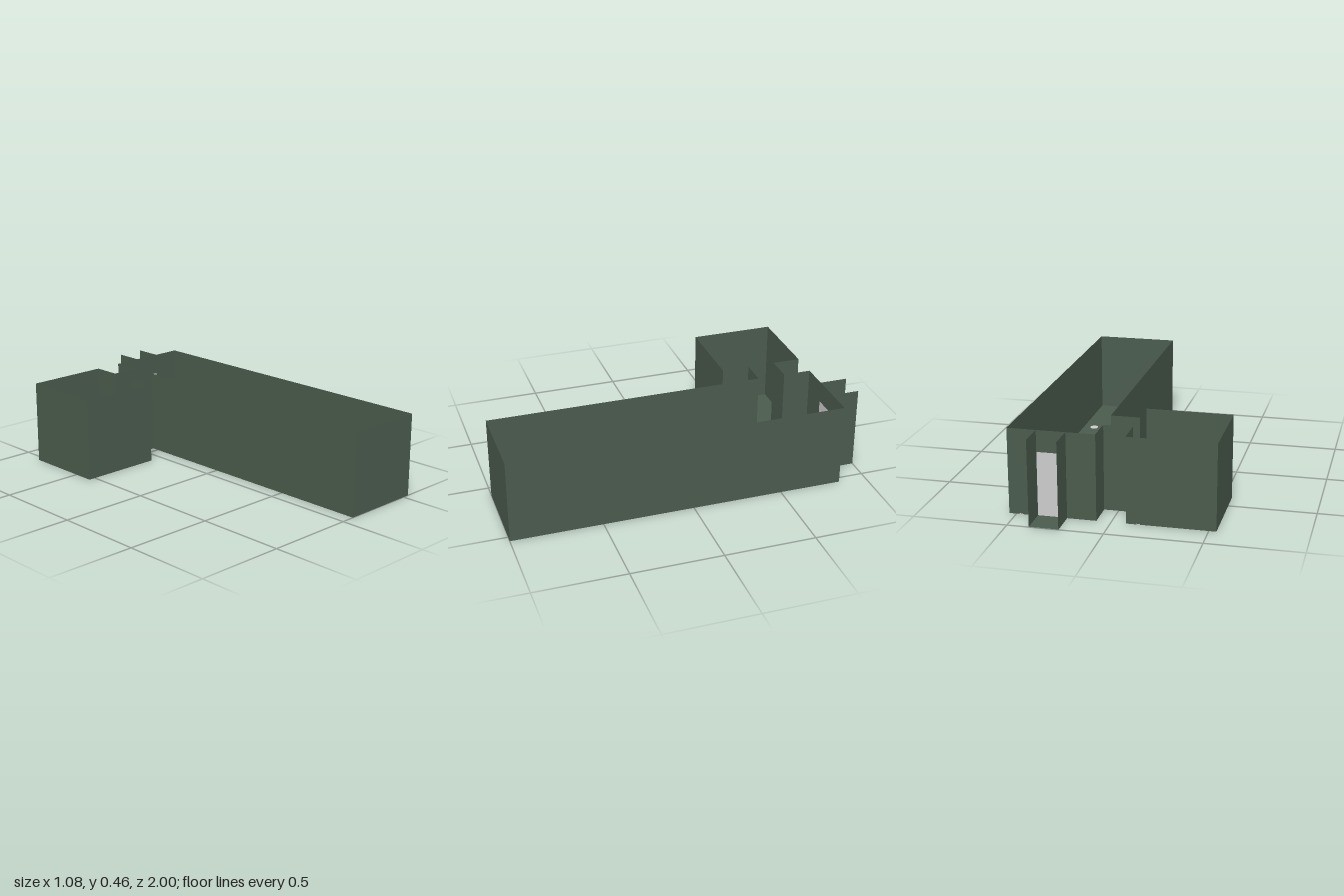
import * as THREE from 'three';

export function createModel() {
  const model = new THREE.Group();
  const green = new THREE.MeshStandardMaterial({ color: 0x4a5b4d, side: THREE.DoubleSide });
  green.name = 'dark green';
  const grey = new THREE.MeshStandardMaterial({ color: 0xcccccc, side: THREE.DoubleSide });
  grey.name = 'light grey';

  const U = 2 / 13;      // floor plan module
  const H = 3 * U;       // wall height

  // Floor plan outline in modules [x, z], starting and ending at the open alcove
  const plan = [
    [2.5, -6.5], [2.5, -5.5], [3.5, -5.5], [3.5, 6.5], [0.5, 6.5], [0.5, -3.5],
    [-0.5, -3.5], [-0.5, -2.5], [-3.5, -2.5], [-3.5, -5.5], [-0.5, -5.5], [-0.5, -4.5],
    [0.5, -4.5], [0.5, -5.5], [1.5, -5.5], [1.5, -6.5],
  ].map(([x, z]) => new THREE.Vector2(x * U, z * U));

  // Upright sheet between two plan points
  function panel(name, a, b, y0, y1, material) {
    const mesh = new THREE.Mesh(new THREE.PlaneGeometry(a.distanceTo(b), y1 - y0), material);
    mesh.name = name;
    mesh.position.set((a.x + b.x) / 2, (y0 + y1) / 2, (a.y + b.y) / 2);
    mesh.rotation.y = -Math.atan2(b.y - a.y, b.x - a.x);
    return mesh;
  }

  // Floor
  const floor = new THREE.Mesh(new THREE.ShapeGeometry(new THREE.Shape(plan)), green);
  floor.name = 'floor';
  floor.rotation.x = Math.PI / 2;
  floor.position.y = 0.002;
  model.add(floor);

  // Walls around the rooms, the passage and the alcove
  const walls = new THREE.Group();
  walls.name = 'walls';
  for (let i = 0; i < plan.length - 1; i++) {
    walls.add(panel('wall', plan[i], plan[i + 1], 0, H, green));
  }
  model.add(walls);

  // Doorway to the alcove: door leaf with a lintel above
  const doorTop = 0.345;
  model.add(panel('door', plan[14], plan[1], 0.002, doorTop, grey));
  model.add(panel('lintel', plan[14], plan[1], doorTop, H, green));

  // Small pale spots set in the floor, one per room section
  const spots = new THREE.Group();
  spots.name = 'floorSpots';
  const spotGeometry = new THREE.CylinderGeometry(0.024, 0.024, 0.004, 9);
  spotGeometry.scale(1, 1, 1.2);
  for (const [x, z] of [[0.474, -0.82], [0.474, -0.358], [0.474, 0.103], [0.474, 0.565], [-0.141, -0.82]]) {
    const spot = new THREE.Mesh(spotGeometry, grey);
    spot.name = 'floorSpot';
    spot.position.set(x, 0.002, z);
    spots.add(spot);
  }
  model.add(spots);

  return model;
}
